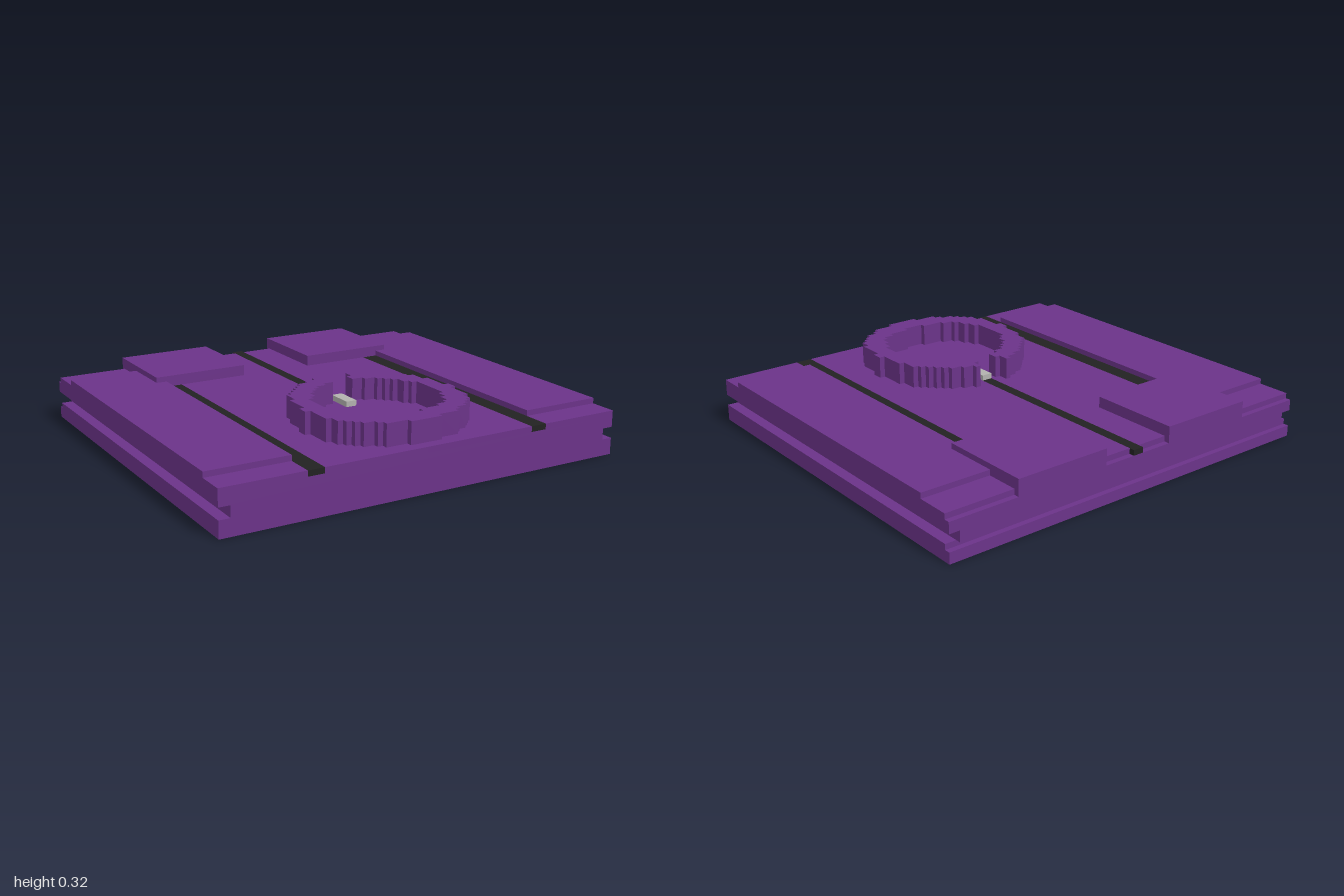
import * as THREE from 'three';

const U = 1 / 38; // one block of the stepped grid

const purple = new THREE.MeshStandardMaterial({ color: 0x6b3389, name: 'purple' });
const black = new THREE.MeshStandardMaterial({ color: 0x222222, name: 'black' });
const silver = new THREE.MeshStandardMaterial({ color: 0xb2b1ae, name: 'silver' });

// Box between two corners given in grid units
function block(name, material, [x0, x1], [y0, y1], [z0, z1]) {
  const geo = new THREE.BoxGeometry((x1 - x0) * U, (y1 - y0) * U, (z1 - z0) * U);
  const mesh = new THREE.Mesh(geo, material);
  mesh.position.set((x0 + x1) / 2 * U, (y0 + y1) / 2 * U, (z0 + z1) / 2 * U);
  mesh.name = name;
  return mesh;
}

// Staircase of points [x, z] down the +x side, from half widths per row
function stairs(rows, firstZ) {
  const pts = [];
  rows.forEach((w, i) => {
    if (w !== rows[i - 1]) pts.push([w, firstZ + i]);
    if (w !== rows[i + 1]) pts.push([w, firstZ + i + 1]);
  });
  return pts;
}

// Open ring with stepped edges and a gap towards the back
function steppedRing() {
  const outer = stairs([4, 6, 8, 9, 10, 11, 12, 13, 13, 13, 14, 14, 14, 14, 14, 15, 15,
    14, 14, 14, 14, 14, 13, 13, 12, 11, 10, 8, 7, 3], 3).slice(0);
  // the last row ends at z = 32 at the front of the ring
  const inner = stairs([4, 6, 7, 8, 9, 9, 10, 11, 11, 11, 11, 11, 11, 11, 11,
    10, 10, 9, 9, 8, 6, 2], 7);
  const gap = [[2, 7], [2, 5], [3, 5], [3, 3]];
  const half = [...gap, ...outer];
  const mirror = pts => pts.map(([x, z]) => [-x, z]).reverse();
  const outline = [...half, ...mirror(half), ...mirror(inner).reverse(), ...inner.slice().reverse()];
  const shape = new THREE.Shape(outline.map(([x, z]) => new THREE.Vector2(x * U, -z * U)));
  const geo = new THREE.ExtrudeGeometry(shape, { depth: 4 * U, bevelEnabled: false });
  geo.rotateX(-Math.PI / 2);
  const mesh = new THREE.Mesh(geo, purple);
  mesh.position.y = 8 * U;
  mesh.name = 'ring';
  return mesh;
}

export function createModel() {
  const model = new THREE.Group();
  model.name = 'panel';

  // Base slab with side grooves and a narrow back groove
  model.add(
    block('baseBottom', purple, [-38, 38], [0, 2], [-35, 35]),
    block('backGrooveLayer', purple, [-38, 38], [2, 3], [-34, 35]),
    block('sideGrooveLayer', purple, [-36, 36], [3, 5], [-35, 35]),
    block('baseTop', purple, [-38, 38], [5, 7], [-35, 35]),
  );

  // Mirrored deck, raised slabs, tracks and pads
  for (const s of [-1, 1]) {
    const span = (a, b) => (s > 0 ? [a, b] : [-b, -a]);
    const side = s > 0 ? 'left' : 'right';
    model.add(
      block(side + 'InnerDeck', purple, span(1, 20), [7, 8], [-34, 35]),
      block(side + 'OuterDeck', purple, span(23, 38), [7, 8], [-34, 35]),
      block(side + 'RaisedSlab', purple, span(23, 38), [8, 9], [-28, 30]),
      block(side + 'Track', black, span(20, 23), [7, 8], [-18, 35]),
      block(side + 'Pad', purple, span(7, 25), [7, 10], [-35, -18]),
    );
  }

  // Centre line, its tip and the deck in front of it
  model.add(
    block('centreTrack', black, [-1, 1], [7, 8], [-35, 5]),
    block('centreDeck', purple, [-1, 1], [7, 8], [5, 35]),
    block('tip', silver, [-1, 1], [8, 9], [5, 10]),
    steppedRing(),
  );
  return model;
}
